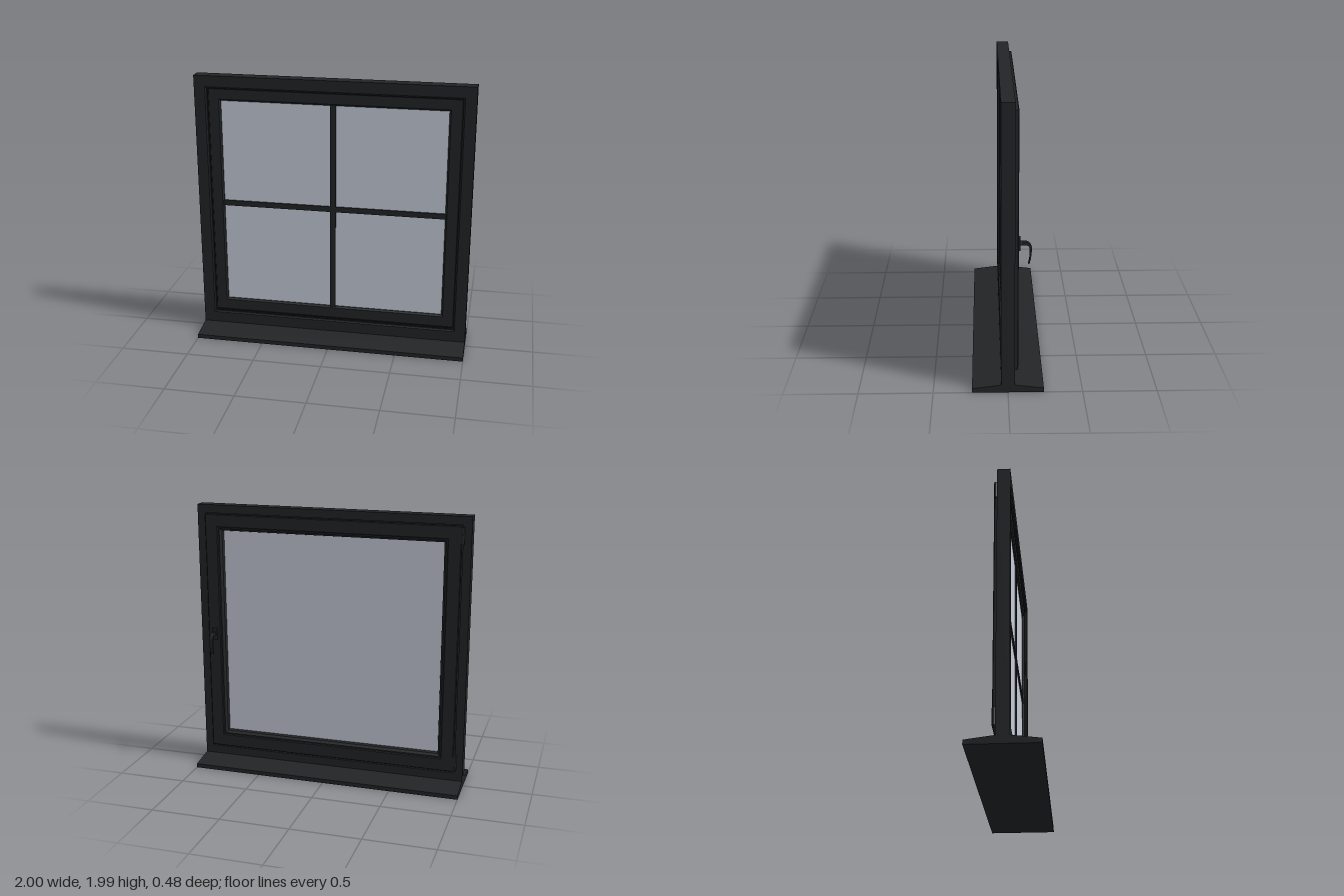
import * as THREE from 'three';

const dark = new THREE.MeshStandardMaterial({ color: 0x222426 });
const pane = new THREE.MeshStandardMaterial({ color: 0xc6ccd9 });
const seal = new THREE.MeshStandardMaterial({ color: 0x111111 });

function add(group, name, geometry, x = 0, y = 0, z = 0, material = dark) {
  const mesh = new THREE.Mesh(geometry, material);
  mesh.name = name;
  mesh.position.set(x, y, z);
  group.add(mesh);
  return mesh;
}

// Sweeps a closed [inset, z] profile round a rectangle with mitred corners
function mitredFrame(halfWidth, y0, y1, profile) {
  const corner = (i, [d, z]) => [
    (i === 1 || i === 2 ? 1 : -1) * (halfWidth - d),
    i < 2 ? y0 + d : y1 - d,
    z,
  ];
  const pos = [];
  for (let i = 0; i < 4; i++) {
    const j = (i + 1) % 4;
    profile.forEach((a, k) => {
      const b = profile[(k + 1) % profile.length];
      const [p, q, r, s] = [corner(i, a), corner(j, a), corner(j, b), corner(i, b)];
      pos.push(...p, ...q, ...r, ...p, ...r, ...s);
    });
  }
  const g = new THREE.BufferGeometry();
  g.setAttribute('position', new THREE.Float32BufferAttribute(pos, 3));
  g.computeVertexNormals();
  return g;
}

// Extrudes a (-z, y) shape along x, centred on x = 0
function extrudeAlongX(shape, width) {
  const g = new THREE.ExtrudeGeometry(shape, { depth: width, bevelEnabled: false, curveSegments: 10 });
  return g.translate(0, 0, -width / 2).rotateY(Math.PI / 2);
}

export function createModel() {
  const model = new THREE.Group();
  model.name = 'window';

  // Sill sloping to front and back
  const sill = new THREE.Shape([
    [-0.24, 0], [0.24, 0], [0.24, 0.03], [0.045, 0.055], [-0.045, 0.055], [-0.24, 0.03],
  ].map(([s, y]) => new THREE.Vector2(s, y)));
  add(model, 'sill', extrudeAlongX(sill, 2));

  // Fixed outer frame, with a rebate at the back for the sash
  add(model, 'outerFrame', mitredFrame(1, 0.055, 1.985, [
    [0, -0.045], [0, 0.045], [0.08, 0.045], [0.09, 0.038], [0.09, 0.0], [0.06, 0.0], [0.06, -0.045],
  ]));
  // Sealing strip between frame and sash
  add(model, 'seal', mitredFrame(0.92, 0.14, 1.905, [
    [0, 0.005], [0, 0.03], [0.02, 0.03], [0.02, 0.005],
  ]), 0, 0, 0, seal);

  // Opening sash with a lip overlapping the back of the frame
  add(model, 'sash', mitredFrame(0.935, 0.132, 1.922, [
    [0, -0.046], [0.03, -0.046], [0.03, 0.025], [0.108, 0.025], [0.12, 0.014],
    [0.12, -0.045], [0.105, -0.062], [0.095, -0.062], [0.09, -0.07], [0.005, -0.07], [0, -0.065],
  ]));

  // Glass and the glazing bars on its front
  add(model, 'glass', new THREE.BoxGeometry(1.64, 1.56, 0.016), 0, 1.027, 0, pane);
  add(model, 'verticalBar', new THREE.BoxGeometry(0.04, 1.56, 0.014), 0, 1.027, 0.014);
  add(model, 'horizontalBar', new THREE.BoxGeometry(1.64, 0.04, 0.012), 0, 1.028, 0.013);

  // Handle: plate, spindle collar and curved lever
  const handle = new THREE.Group();
  handle.name = 'handle';
  handle.position.x = 0.885;
  model.add(handle);
  add(handle, 'handlePlate', new THREE.BoxGeometry(0.04, 0.09, 0.012), 0, 1.025, -0.075);
  const collar = new THREE.CylinderGeometry(0.016, 0.016, 0.012, 20).rotateX(Math.PI / 2);
  add(handle, 'handleCollar', collar, 0, 1.028, -0.086);
  const lever = new THREE.Shape();
  lever.moveTo(0.08, 1.016);
  lever.lineTo(0.118, 1.016);
  lever.quadraticCurveTo(0.141, 1.013, 0.142, 0.985);
  lever.quadraticCurveTo(0.144, 0.925, 0.132, 0.888);
  lever.lineTo(0.139, 0.885);
  lever.quadraticCurveTo(0.156, 0.93, 0.155, 1.002);
  lever.quadraticCurveTo(0.142, 1.038, 0.112, 1.04);
  lever.lineTo(0.08, 1.04);
  add(handle, 'handleLever', extrudeAlongX(lever, 0.026));

  // Hinges on the side opposite the handle
  for (const y of [0.2, 1.855]) {
    const hinge = new THREE.Group();
    hinge.name = 'hinge';
    hinge.position.set(-0.942, y, -0.058);
    model.add(hinge);
    add(hinge, 'hingePin', new THREE.CylinderGeometry(0.011, 0.011, 0.12, 16));
    add(hinge, 'hingeLeaf', new THREE.BoxGeometry(0.02, 0.11, 0.012), 0.012, 0, -0.008);
  }
  return model;
}
